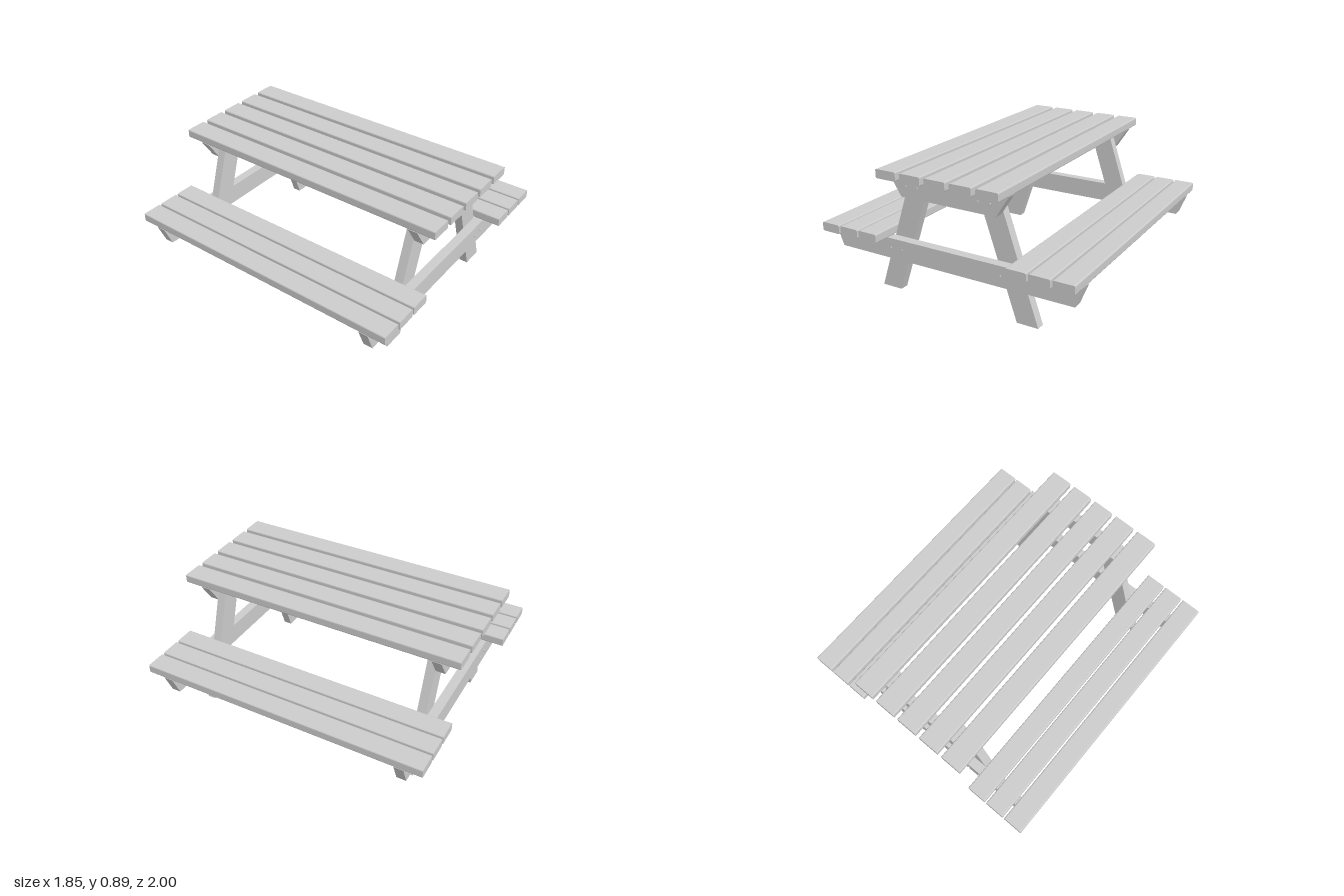
import * as THREE from 'three';

const material = new THREE.MeshStandardMaterial({ color: 0xcccccc });

// Extrude a shape along z between z0 and z1
function prism(name, shape, z0, z1) {
  const geometry = new THREE.ExtrudeGeometry(shape, { depth: z1 - z0, bevelEnabled: false, curveSegments: 4 });
  geometry.translate(0, 0, z0);
  const mesh = new THREE.Mesh(geometry, material);
  mesh.name = name;
  return mesh;
}

const polygon = (points) => new THREE.Shape(points.map(([x, y]) => new THREE.Vector2(x, y)));

// Plank cross-section with softened corners
function plankShape(cx, y0, w, h, r = 0.01) {
  const s = new THREE.Shape();
  const a = cx - w / 2, b = cx + w / 2, t = y0 + h;
  s.moveTo(a + r, y0);
  s.lineTo(b - r, y0);
  s.quadraticCurveTo(b, y0, b, y0 + r);
  s.lineTo(b, t - r);
  s.quadraticCurveTo(b, t, b - r, t);
  s.lineTo(a + r, t);
  s.quadraticCurveTo(a, t, a, t - r);
  s.lineTo(a, y0 + r);
  s.quadraticCurveTo(a, y0, a + r, y0);
  return s;
}

// Tapered cross beam, wider at the top
const beamShape = (top, bottom, y0, y1) =>
  polygon([[-bottom, y0], [bottom, y0], [top, y1], [-top, y1]]);

// Leg frame at one end of the table
function createFrame() {
  const frame = new THREE.Group();
  frame.add(prism('tableBeam', beamShape(0.438, 0.347, 0.695, 0.836), 0.815, 0.88));
  frame.add(prism('benchBeam', beamShape(0.925, 0.87, 0.25, 0.39), 0.815, 0.88));

  for (const side of [-1, 1]) {
    // Splayed leg, cut level at the floor and under the tabletop
    const corners = [[0.448, 0], [0.598, 0], [0.316, 0.836], [0.166, 0.836]].map(([x, y]) => [side * x, y]);
    frame.add(prism(side > 0 ? 'leftLeg' : 'rightLeg', polygon(corners), 0.755, 0.815));

    // Two bolt heads where the leg crosses each beam
    for (const [x, y] of [[0.265, 0.768], [0.415, 0.323]]) {
      for (const offset of [-0.043, 0.043]) {
        const bolt = new THREE.Mesh(new THREE.CylinderGeometry(0.008, 0.008, 0.012, 12), material);
        bolt.name = 'bolt';
        bolt.rotation.x = Math.PI / 2;
        bolt.position.set(side * (x + offset), y, 0.88);
        frame.add(bolt);
      }
    }
  }
  return frame;
}

export function createModel() {
  const model = new THREE.Group();
  model.name = 'picnicTable';

  // Tabletop
  const tabletop = new THREE.Group();
  tabletop.name = 'tabletop';
  for (let i = -2; i <= 2; i++) {
    tabletop.add(prism('tablePlank', plankShape(i * 0.182, 0.836, 0.15, 0.059), -1, 1));
  }
  model.add(tabletop);

  // Benches
  for (const side of [-1, 1]) {
    const bench = new THREE.Group();
    bench.name = side > 0 ? 'leftBench' : 'rightBench';
    for (const x of [0.548, 0.702, 0.856]) {
      bench.add(prism('benchPlank', plankShape(side * x, 0.39, 0.14, 0.061), -1, 1));
    }
    model.add(bench);
  }

  // End frames
  const front = createFrame();
  front.name = 'frontFrame';
  const back = createFrame();
  back.name = 'backFrame';
  back.rotation.y = Math.PI;
  model.add(front, back);

  return model;
}
